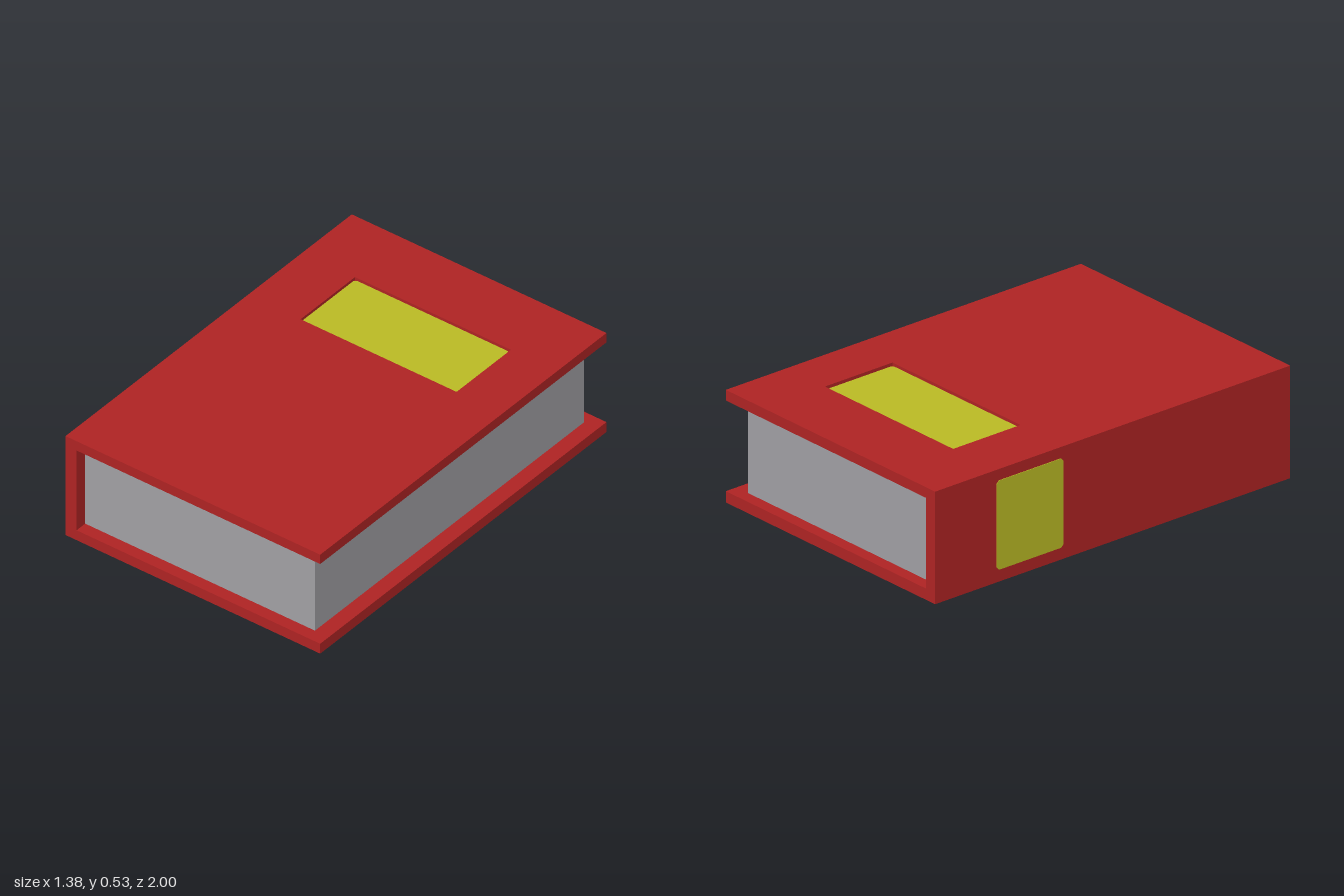
import * as THREE from 'three';

const mat = (name, color) => {
  const m = new THREE.MeshStandardMaterial({ color });
  m.name = name;
  return m;
};

// Closed outline from [x, y] points
const outline = (points, Type = THREE.Shape) => new Type(points.map(([x, y]) => new THREE.Vector2(x, y)));
const rect = (x0, y0, x1, y1) => [[x0, y0], [x1, y0], [x1, y1], [x0, y1]];

// Rectangle with small clipped corners
const clipped = (w, h, c) => {
  const x = w / 2, y = h / 2;
  return [[-x + c, -y], [x - c, -y], [x, -y + c], [x, y - c], [x - c, y], [-x + c, y], [-x, y - c], [-x, -y + c]];
};

const extrude = (shape, depth) => new THREE.ExtrudeGeometry(shape, { depth, bevelEnabled: false });

export function createModel() {
  const red = mat('cover red', 0xae2323);
  const grey = mat('page grey', 0xa09fa3);
  const yellow = mat('label yellow', 0xbaba24);

  const book = new THREE.Group();
  book.name = 'book';
  const add = (name, geometry, material) => {
    const mesh = new THREE.Mesh(geometry, material);
    mesh.name = name;
    book.add(mesh);
    return mesh;
  };

  const W = 0.69, H = 0.53, T = 0.053, recess = 0.016;
  const spineIn = -0.63, floor = H - recess;

  // Bottom board, spine and lower layer of the top board in one C profile
  const profile = outline([
    [-W, 0], [W, 0], [W, T], [spineIn, T], [spineIn, H - T + 0.003],
    [W, H - T + 0.003], [W, floor], [-W, floor],
  ]);
  add('cover', extrude(profile, 2).translate(0, 0, -1), red);

  // Top layer of the cover, with the opening for the label
  const layer = outline(rect(-W, -1, W, 1));
  layer.holes.push(outline(rect(-0.405, 0.275, 0.44, 0.655).reverse(), THREE.Path));
  add('coverTopLayer', extrude(layer, recess).rotateX(-Math.PI / 2).translate(0, floor, 0), red);

  // Page block
  add('pages', new THREE.BoxGeometry(1.245, 0.427, 1.88).translate(-0.0075, 0.2665, 0), grey);

  // Label sunk into the cover
  add('coverLabel', extrude(outline(clipped(0.84, 0.376, 0.012)), 0.003)
    .rotateX(-Math.PI / 2).translate(0.016, floor, -0.465), yellow);

  // Label on the spine
  add('spineLabel', extrude(outline(clipped(0.376, 0.42, 0.014)), 0.003)
    .rotateY(-Math.PI / 2).translate(-W, 0.267, -0.467), yellow);

  return book;
}
